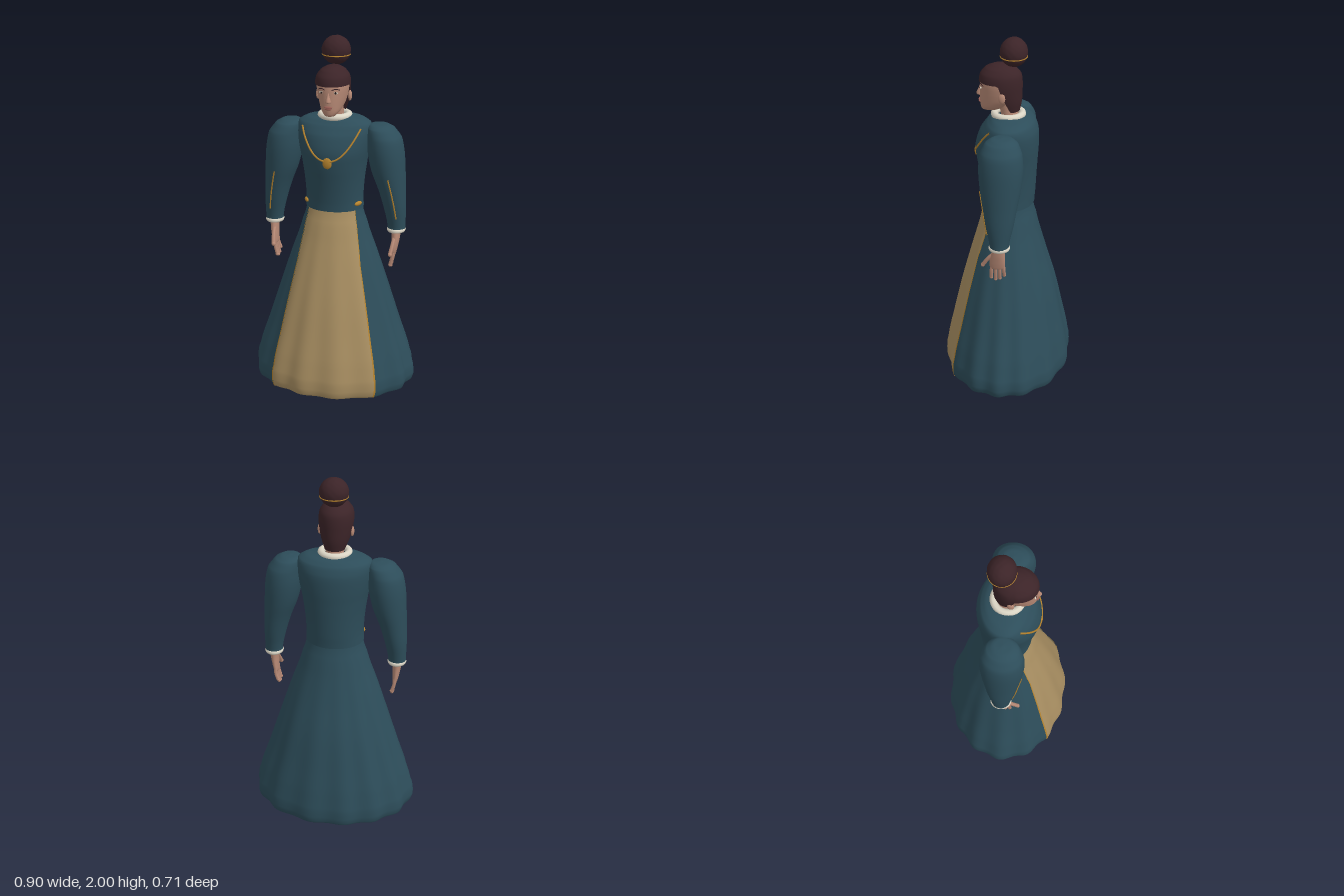
import * as THREE from 'three';
import { mergeVertices } from 'three/addons/utils/BufferGeometryUtils.js';

const mat = (name, color, side = THREE.FrontSide) => {
  const m = new THREE.MeshStandardMaterial({ color, side });
  m.name = name;
  return m;
};
const TAU = Math.PI * 2;
const { lerp, smoothstep, degToRad } = THREE.MathUtils;

// Smooth surface from f(u, v) with u running around and v running upward
function patch(f, nu, nv) {
  const pos = [], idx = [];
  for (let j = 0; j <= nv; j++)
    for (let i = 0; i <= nu; i++) pos.push(...f(i / nu, j / nv));
  for (let j = 0; j < nv; j++)
    for (let i = 0; i < nu; i++) {
      const a = j * (nu + 1) + i, b = a + 1, c = a + nu + 1, d = c + 1;
      idx.push(a, c, b, b, c, d);
    }
  let g = new THREE.BufferGeometry();
  g.setAttribute('position', new THREE.Float32BufferAttribute(pos, 3));
  g.setIndex(idx);
  g = mergeVertices(g, 1e-5);
  g.computeVertexNormals();
  return g;
}

// Cross-sections are [y, centre x, centre z, half width, depth to front, depth to back]
function section(rows, k) {
  const n = rows.length - 1, i = Math.min(Math.floor(k), n - 1), f = k - i;
  const [a, b, c, d] = [rows[Math.max(i - 1, 0)], rows[i], rows[i + 1], rows[Math.min(i + 2, n)]];
  return b.map((p, m) => {
    if (m === 0) return lerp(p, c[0], f);
    const v0 = (c[m] - a[m]) / 2, v1 = (d[m] - p) / 2, e = c[m] - p;
    const r = p + f * (v0 + f * (3 * e - 2 * v0 - v1 + f * (v0 + v1 - 2 * e)));
    return m > 2 ? Math.max(r, 0) : r;
  });
}
function sectionAt(rows, y) {
  let i = 0;
  while (i < rows.length - 2 && rows[i + 1][0] < y) i++;
  return section(rows, i + (y - rows[i][0]) / (rows[i + 1][0] - rows[i][0]));
}
function around([y, cx, cz, rx, rf, rb], t, grow = 0) {
  const s = Math.sin(t);
  return [cx + (rx + grow) * Math.cos(t), y, cz + ((s > 0 ? rf : rb) + grow) * s];
}
const loft = (rows, nu = 32, sub = 4) =>
  patch((u, v) => around(section(rows, v * (rows.length - 1)), u * TAU), nu, sub * (rows.length - 1));
// Point on the front of a loft at a given x and y
const onFront = (rows, x, y, grow = 0) => {
  const r = sectionAt(rows, y);
  return new THREE.Vector3(...around(r, Math.acos(THREE.MathUtils.clamp((x - r[1]) / r[3], -1, 1)), grow));
};
const tube = (pts, r, n = 32) => new THREE.TubeGeometry(new THREE.CatmullRomCurve3(pts), n, r, 6);
const V = (x, y, z) => new THREE.Vector3(x, y, z);

const BODICE = [[1.085, 0, 0, .157, .13, .14], [1.15, 0, 0, .155, .135, .145], [1.25, 0, 0, .162, .15, .15],
  [1.35, 0, 0, .176, .168, .156], [1.42, 0, 0, .19, .172, .16], [1.5, 0, 0, .2, .148, .158],
  [1.55, 0, 0, .195, .112, .14], [1.575, 0, 0, .155, .085, .112], [1.59, 0, 0, .09, .06, .075]];
const SKIRT = [[.07, 0, 0, .42, .322, .322], [.08, 0, 0, .436, .338, .338], [.12, 0, 0, .446, .345, .345],
  [.2, 0, 0, .432, .338, .338], [.4, 0, 0, .37, .298, .3], [.6, 0, 0, .307, .253, .257],
  [.8, 0, 0, .243, .2, .2], [1, 0, 0, .176, .146, .15], [1.11, 0, 0, .148, .116, .126]];
const SLEEVE = [[.968, .34, 0, 0, 0, 0], [.97, .34, 0, .044, .046, .046], [1, .34, 0, .048, .052, .052],
  [1.1, .33, 0, .06, .073, .073], [1.2, .313, 0, .073, .09, .09], [1.3, .292, 0, .09, .107, .107],
  [1.4, .278, 0, .097, .115, .115], [1.48, .268, 0, .091, .108, .108], [1.53, .25, 0, .072, .085, .085],
  [1.55, .24, 0, .048, .052, .052], [1.556, .24, 0, 0, 0, 0]];
const FACE = [[1.603, 0, .1, 0, 0, 0], [1.61, 0, .1, .028, .037, .05], [1.635, 0, .08, .05, .066, .09],
  [1.67, 0, .05, .066, .099, .1], [1.71, 0, .04, .077, .109, .1], [1.76, 0, .04, .084, .107, .1],
  [1.8, 0, .04, .078, .098, .095], [1.84, 0, .04, .05, .06, .06], [1.85, 0, .04, 0, 0, 0]];
const HAIR = [[1.6, 0, 0, .054, .06, .058], [1.66, 0, .02, .075, .1, .09], [1.72, 0, .037, .089, .112, .11],
  [1.77, 0, .04, .092, .113, .113], [1.81, 0, .04, .085, .104, .106], [1.84, 0, .04, .062, .078, .08],
  [1.857, 0, .04, .032, .042, .042], [1.863, 0, .04, 0, 0, 0]];
const NECK = [[1.55, 0, -.01, .055, .05, .05], [1.6, 0, -.005, .046, .046, .046], [1.69, 0, .01, .046, .05, .046]];
const NOSE = [[1.682, 0, .14, 0, 0, 0], [1.686, 0, .14, .015, .024, .01], [1.697, 0, .138, .015, .028, .01],
  [1.72, 0, .136, .009, .02, .01], [1.75, 0, .136, .006, .01, .01]];
const PALM = [[.835, .332, .012, 0, 0, 0], [.842, .332, .012, .012, .036, .036], [.88, .336, .01, .017, .043, .04],
  [.93, .34, .005, .022, .038, .034], [.99, .34, 0, .026, .03, .03]];
const SHOE = [[.008, 0, .06, 0, 0, 0], [.01, 0, .06, .036, .145, .145], [.03, 0, .06, .046, .156, .158],
  [.05, 0, .04, .044, .14, .138], [.075, 0, .005, .038, .1, .095], [.11, 0, -.02, .034, .05, .06]];

export function createModel() {
  const teal = mat('teal cloth', 0x2d4d5a, THREE.DoubleSide), tan = mat('tan cloth', 0xa98f62, THREE.DoubleSide);
  const gold = mat('gold', 0xb5832f, THREE.DoubleSide), hairMat = mat('dark hair', 0x3c2428, THREE.DoubleSide);
  const skin = mat('skin', 0xb88a76), cream = mat('cream linen', 0xdcd6c6), wine = mat('wine leather', 0x5c2136);
  const lip = mat('lip', 0x9a5f56), dark = mat('iris', 0x2a1c1a);
  const root = new THREE.Group();
  const body = new THREE.Group();
  body.name = 'figure';
  body.rotation.y = 0.17; // stands turned slightly to its left
  root.add(body);
  const add = (name, geo, material, pos) => {
    const m = new THREE.Mesh(geo, material);
    m.name = name;
    if (pos) m.position.copy(pos);
    body.add(m);
    return m;
  };
  const ball = (name, material, pos, sx, sy, sz) => {
    const m = add(name, new THREE.SphereGeometry(1, 20, 14), material, pos);
    m.scale.set(sx, sy, sz);
    return m;
  };

  // Skirt: pleated surface split at the edges of the front panel
  const edge = y => degToRad(y > .8 ? lerp(45, 33, (y - .8) / .3) : lerp(51, 45, (y - .07) / .73));
  const skirtPoint = (k, t, grow) => {
    const r = section(SKIRT, k), w = 1 + .02 * (1.11 - r[0]) * Math.cos(14 * t + .6 * Math.sin(3 * t));
    const [x, y, z] = around(r, t, grow);
    return [x * w, y, z * w];
  };
  const last = SKIRT.length - 1;
  const skirtPart = (from, to, nu, grow = 0) => patch((u, v) => {
    const e = edge(section(SKIRT, v * last)[0]);
    return skirtPoint(v * last, lerp(from(e), to(e), u), grow);
  }, nu, last * 4);
  add('skirt', skirtPart(e => Math.PI - e, e => TAU + e, 110), teal);
  add('skirtFrontPanel', skirtPart(e => e, e => Math.PI - e, 48), tan);
  add('skirtTrimLeft', skirtPart(e => e - .012, e => e + .012, 2, .003), gold);
  add('skirtTrimRight', skirtPart(e => Math.PI - e - .012, e => Math.PI - e + .012, 2, .003), gold);
  add('skirtUnderside', patch((u, v) => {
    const [x, y, z] = skirtPoint(0, u * TAU, 0);
    return [x * v, lerp(.085, y, v), z * v];
  }, 96, 6), teal);

  // Bodice, collar and necklace
  add('bodice', loft(BODICE, 48), teal);
  const collar = add('collar', new THREE.TorusGeometry(.073, .019, 10, 40), cream, V(0, 1.587, 0));
  collar.rotation.x = Math.PI / 2;
  const chain = [];
  for (let i = -8; i <= 8; i++) {
    const u = i / 8;
    chain.push(onFront(BODICE, .155 * u, 1.378 + .16 * Math.abs(u) ** 2.2, .002));
  }
  add('necklace', tube(chain, .005, 48), gold);
  ball('pendant', gold, onFront(BODICE, 0, 1.368), .025, .031, .01);

  // Head
  add('neck', loft(NECK), skin);
  add('face', loft(FACE), skin);
  add('nose', loft(NOSE, 16), skin);
  add('hair', patch((u, v) => {
    const t = u * TAU, bottom = lerp(1.61, 1.768, smoothstep(Math.sin(t), -.35, .05));
    return around(sectionAt(HAIR, lerp(bottom, 1.863, Math.sin(v * Math.PI / 2))), t);
  }, 64, 24), hairMat);
  ball('upperLip', lip, onFront(FACE, 0, 1.662), .024, .005, .007);
  ball('lowerLip', lip, onFront(FACE, 0, 1.653), .02, .006, .007);

  // Bun with a gold band
  const bun = new THREE.SphereGeometry(.076, 40, 28), p = bun.attributes.position, q = new THREE.Vector3();
  for (let i = 0; i < p.count; i++) {
    q.fromBufferAttribute(p, i);
    q.multiplyScalar(1 + .012 * Math.sin(q.x * 150) * Math.sin(q.y * 150) * Math.sin(q.z * 150));
    p.setXYZ(i, q.x, q.y, q.z * .94);
  }
  bun.computeVertexNormals();
  add('hairBun', bun, hairMat, V(0, 1.925, -.028));
  const band = add('bunBand', new THREE.TorusGeometry(.073, .003, 6, 48), gold, V(0, 1.903, -.028));
  band.rotation.x = Math.PI / 2;
  band.scale.y = .95;

  // Mirrored parts
  for (const [s, side] of [[1, 'left'], [-1, 'right']]) {
    const flip = rows => rows.map(r => [r[0], r[1] * s, ...r.slice(2)]);
    ball(side + 'Ear', skin, V(.086 * s, 1.7, .022), .01, .028, .018);
    ball(side + 'Eye', cream, onFront(FACE, .036 * s, 1.737), .014, .006, .004);
    ball(side + 'Iris', dark, onFront(FACE, .036 * s, 1.737, .002), .006, .006, .004);
    add(side + 'Brow', tube([[.017, 1.75], [.035, 1.757], [.056, 1.75]].map(([x, y]) => onFront(FACE, x * s, y)), .0025, 10), hairMat);

    // Sleeve with gold seam and cuff
    const sleeve = flip(SLEEVE);
    add(side + 'Sleeve', loft(sleeve), teal);
    const seam = [1.28, 1.2, 1.12, 1.05].map(y => onFront(sleeve, sectionAt(sleeve, y)[1] + .012 * s, y, .001));
    add(side + 'SleeveSeam', tube(seam, .004, 16), gold);
    const cuff = add(side + 'Cuff', new THREE.TorusGeometry(.037, .014, 8, 28), cream, V(.34 * s, .974, 0));
    cuff.rotation.x = Math.PI / 2;
    cuff.scale.y = 1.12;

    // Hand with four fingers and a thumb
    add(side + 'Palm', loft(flip(PALM), 20), skin);
    for (let i = 0; i < 4; i++) {
      const z = -.02 + .02 * i, tip = [.795, .775, .768, .778][i];
      add(side + 'Finger', tube([V(.333 * s, .87, z), V(.33 * s, .83, z * 1.1), V(.318 * s, tip, z * 1.15)], .0095, 8), skin);
      ball(side + 'Fingertip', skin, V(.318 * s, tip, z * 1.15), .0095, .0095, .0095);
    }
    add(side + 'Thumb', tube([V(.336 * s, .94, .02), V(.332 * s, .9, .06), V(.325 * s, .855, .09)], .011, 8), skin);
    ball(side + 'ThumbTip', skin, V(.325 * s, .855, .09), .011, .012, .011);

    // Waist clasp
    const clasp = ball(side + 'WaistClasp', gold, V(.142 * s, 1.12, .058), .01, .012, .027);
    clasp.rotation.y = -.5 * s;

    // Shoe and heel
    const shoe = SHOE.map(r => [r[0], .1 * s, ...r.slice(2)]);
    add(side + 'Shoe', loft(shoe, 28), wine);
    add(side + 'Heel', new THREE.CylinderGeometry(.032, .028, .03, 20), wine, V(.1 * s, .015, -.055));
  }
  return root;
}
